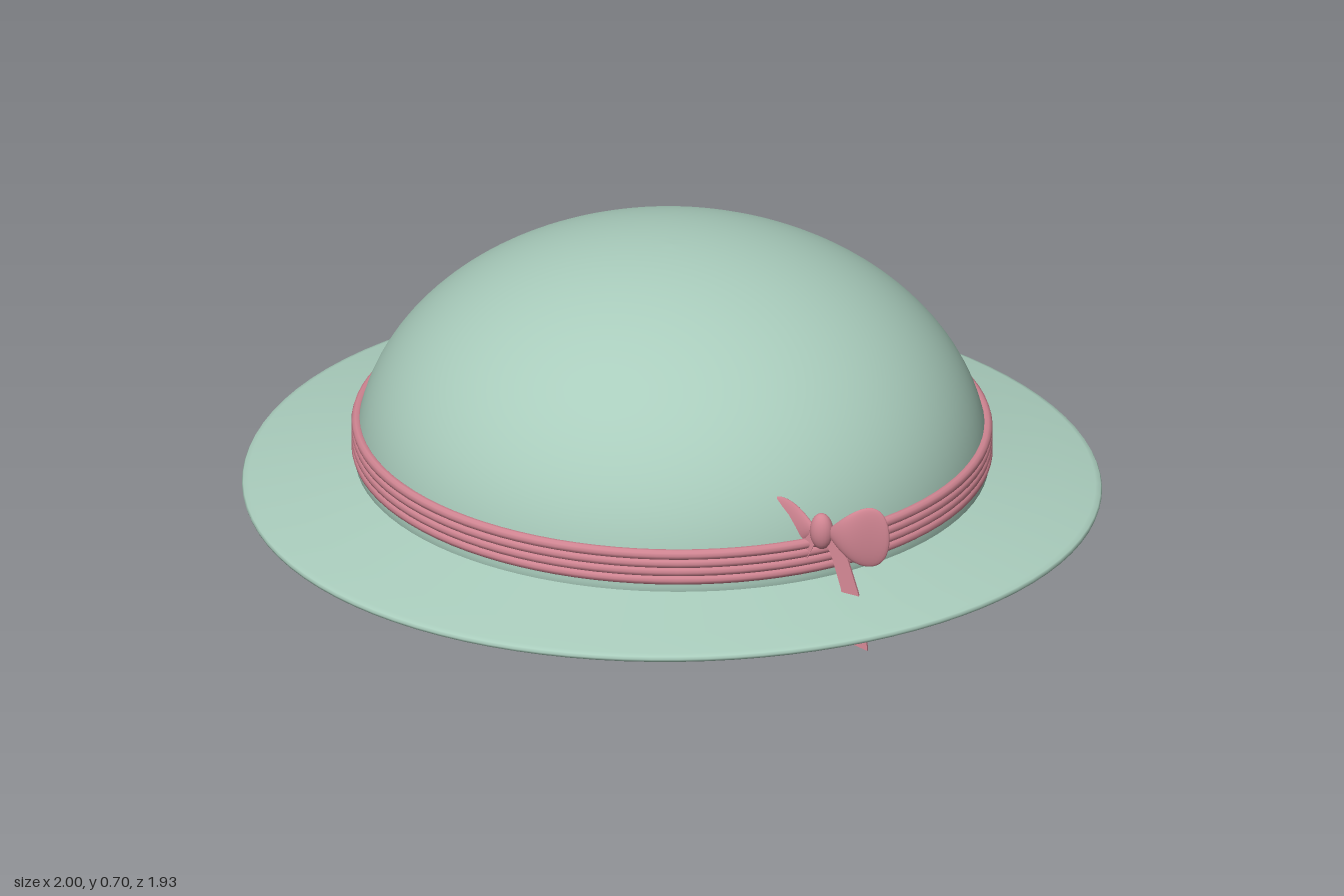
import * as THREE from 'three';

const DEPTH = 0.965; // the hat is slightly oval
const BOW = { x: 0.537, y: 0.278, z: 0.517 };

export function createModel() {
  const felt = new THREE.MeshStandardMaterial({ color: 0xa9ccbc, side: THREE.DoubleSide });
  felt.name = 'sage felt';
  const ribbon = new THREE.MeshStandardMaterial({ color: 0xd08592, side: THREE.DoubleSide });
  ribbon.name = 'rose ribbon';

  const hat = new THREE.Group();
  hat.name = 'hat';
  const add = (parent, name, geometry, material) => {
    const mesh = new THREE.Mesh(geometry, material);
    mesh.name = name;
    parent.add(mesh);
    return mesh;
  };
  const bend = (geometry, rule) => {
    const p = geometry.attributes.position;
    const v = new THREE.Vector3();
    for (let i = 0; i < p.count; i++) {
      rule(v.fromBufferAttribute(p, i));
      p.setXYZ(i, v.x, v.y, v.z);
    }
    return geometry;
  };

  // Domed crown: inner shell downwards, then outer shell upwards
  const arc = (radius, height, base, steps = 28) => Array.from({ length: steps + 1 }, (_, i) => {
    const a = (i / steps) * Math.PI / 2;
    return new THREE.Vector2(radius * Math.cos(a), base + height * Math.sin(a));
  });
  const crownProfile = [
    ...arc(0.72, 0.525, 0.16).reverse(),
    new THREE.Vector2(0.72, 0.125),
    new THREE.Vector2(0.737, 0.125),
    ...arc(0.737, 0.54, 0.16),
  ];
  add(hat, 'crown', new THREE.LatheGeometry(crownProfile, 96), felt).scale.z = DEPTH;

  // Sloping brim with a rounded edge and a gentle wave
  const brimProfile = [
    [0.725, 0.127], [0.8, 0.112], [0.9, 0.094], [0.975, 0.079], [0.99, 0.078], [0.998, 0.082],
    [1, 0.088], [0.997, 0.094], [0.985, 0.098], [0.9, 0.115], [0.8, 0.135], [0.735, 0.148],
  ].map(([x, y]) => new THREE.Vector2(x, y));
  const brim = bend(new THREE.LatheGeometry(brimProfile, 96), (v) => {
    const r = Math.hypot(v.x, v.z);
    const reach = Math.max(0, (r - 0.74) / 0.26);
    v.y += 0.011 * reach * (2 * v.x * v.z) / (r * r);
  });
  add(hat, 'brim', brim, felt).scale.z = DEPTH;

  // Rolled lip around the head opening
  const lip = add(hat, 'openingLip', new THREE.TorusGeometry(0.73, 0.012, 10, 96), felt);
  lip.rotation.x = Math.PI / 2;
  lip.scale.y = DEPTH;
  lip.position.y = 0.125;

  // Hat band made of four stacked cords
  const band = new THREE.Group();
  band.name = 'hatBand';
  hat.add(band);
  for (let i = 0; i < 4; i++) {
    const cord = add(band, 'bandCord', new THREE.TorusGeometry(0.733, 0.0125, 10, 96), ribbon);
    cord.rotation.x = Math.PI / 2;
    cord.scale.y = DEPTH;
    cord.position.y = 0.178 + i * 0.021;
  }

  // Bow: knot, two puffed loops and two notched tails
  const bow = new THREE.Group();
  bow.name = 'bow';
  bow.position.set(BOW.x, BOW.y, BOW.z);
  hat.add(bow);
  add(bow, 'bowKnot', new THREE.SphereGeometry(1, 20, 14), ribbon).scale.set(0.028, 0.045, 0.024);

  for (const side of [1, -1]) {
    const loop = bend(new THREE.SphereGeometry(1, 28, 20), (v) => {
      const t = (v.x + 1) / 2;
      const x = 0.015 + 0.148 * t;
      const y = v.y * (0.022 + 0.08 * Math.pow(t, 0.8));
      v.set(side * x, y, v.z * 0.014 + side * 0.01 * Math.sin(t * Math.PI * 1.6));
    });
    if (side < 0) loop.index.array.reverse();
    loop.computeVertexNormals();
    add(bow, 'bowLoop', loop, ribbon);

    const outline = new THREE.Shape([
      [0, 0], [0.022, 0], [0.066, -0.06], [0.092, -0.135], [0.109, -0.19], [0.12, -0.278],
      [0.055, -0.258], [0.06, -0.185], [0.052, -0.135], [0.028, -0.06],
    ].map(([x, y]) => new THREE.Vector2(side * x, y)));
    const tail = bend(
      new THREE.ExtrudeGeometry(outline, { depth: 0.007, bevelEnabled: false }),
      (v) => { v.z += -0.0035 - 0.08 * v.y; },
    );
    tail.computeVertexNormals();
    add(bow, 'bowTail', tail, ribbon);
  }
  return hat;
}
